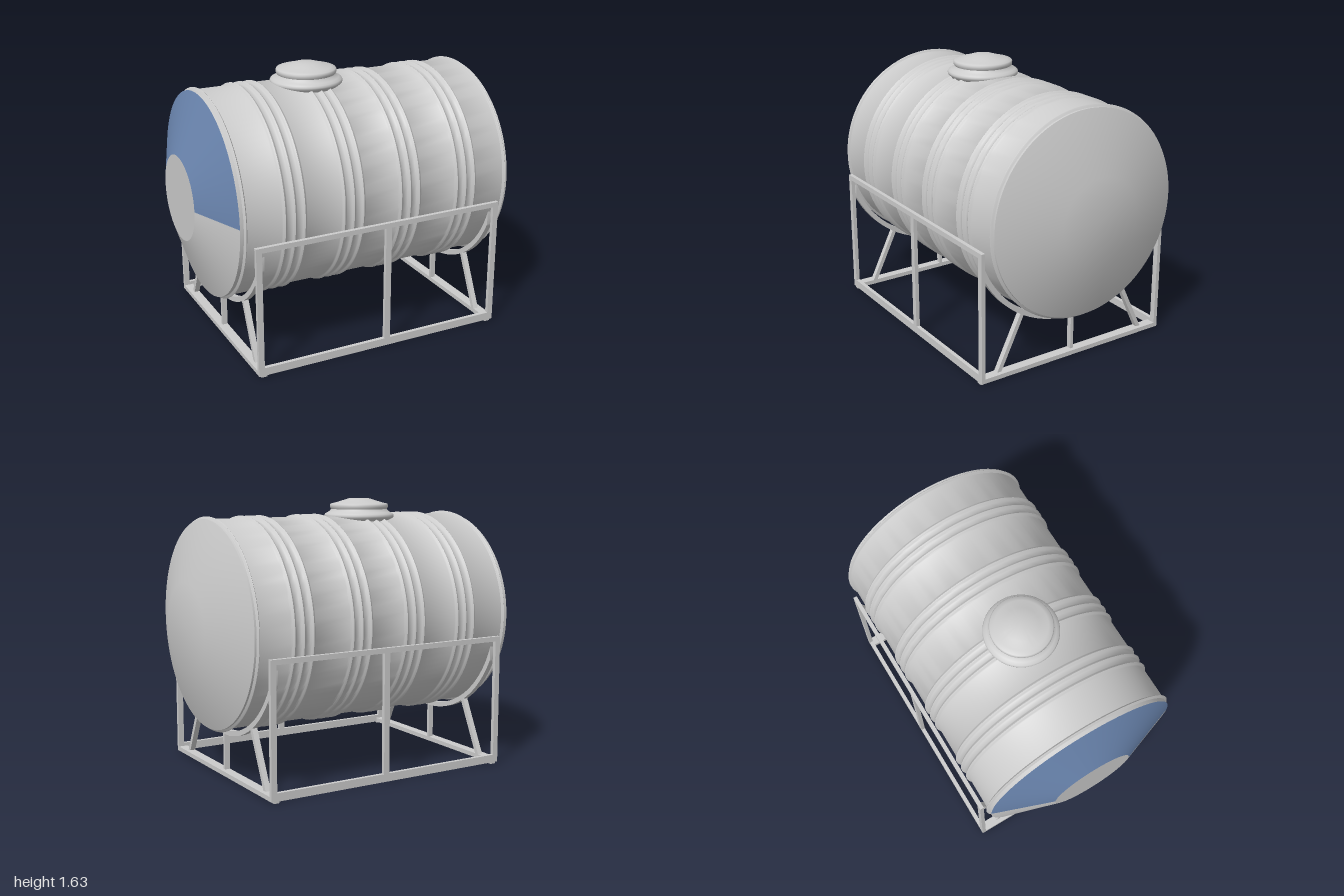
import * as THREE from 'three';
import { toCreasedNormals } from 'three/addons/utils/BufferGeometryUtils.js';

const AXIS_Y = 0.915; // height of the tank axis
const R = 0.613;      // tank shell radius
const R_END = 0.255;  // flat disc at each end

export function createModel() {
  const model = new THREE.Group();
  const grey = new THREE.MeshStandardMaterial({ color: 0xcccccc });
  const blue = new THREE.MeshStandardMaterial({ color: 0x6b86b0 });

  function add(name, geometry, parent, material = grey) {
    const mesh = new THREE.Mesh(geometry, material);
    mesh.name = name;
    parent.add(mesh);
    return mesh;
  }

  // Box given by its lower and upper corners
  function bar(name, a, b, parent) {
    const size = b.map((v, i) => Math.abs(v - a[i]));
    const mesh = add(name, new THREE.BoxGeometry(...size), parent);
    mesh.position.set(...a.map((v, i) => (v + b[i]) / 2));
    return mesh;
  }

  // Revolve [x, radius] pairs, ordered by rising x, around the tank axis
  function revolveX(pairs, start = 0, length = Math.PI * 2) {
    const pts = pairs.map(([x, r]) => new THREE.Vector2(r, x));
    const segments = Math.round(96 * length / (Math.PI * 2));
    const g = new THREE.LatheGeometry(pts, segments, start, length);
    g.rotateZ(-Math.PI / 2);
    return toCreasedNormals(g, 0.75);
  }

  // Tank: shell with raised hoops in threes and a small hoop near each rim
  const tank = new THREE.Group();
  tank.name = 'tank';
  tank.position.y = AXIS_Y;
  model.add(tank);

  const hoops = [[-0.838, 0.01]];
  for (const c of [-0.545, -0.177, 0.19, 0.57]) {
    for (const d of [-0.06, 0, 0.06]) hoops.push([c + d, 0.017]);
  }
  hoops.push([0.848, 0.01]);

  const shell = [[-0.87, R]];
  for (const [x, w] of hoops) {
    for (const t of [-1, -0.6, -0.25, 0, 0.25, 0.6, 1]) {
      shell.push([x + t * w, R + 0.0075 * (1 + Math.cos(Math.PI * t))]);
    }
  }
  shell.push([0.87, R]);
  add('tankShell', revolveX(shell), tank);

  // Tapered ends; the upper half of the right one is painted
  add('leftEnd', revolveX([[0.87, R], [1, R_END], [1, 0]]), tank);
  add('rightEndDisc', revolveX([[-1, 0], [-1, R_END]]), tank);
  const rightCone = [[-1, R_END], [-0.87, R]];
  add('rightEndLowerCone', revolveX(rightCone, 0, Math.PI), tank);
  add('rightEndUpperCone', revolveX(rightCone, Math.PI, Math.PI), tank, blue);

  // Filler lid on top
  const lidProfile = [
    [0.19, 1.49], [0.205, 1.508], [0.215, 1.518], [0.217, 1.528], [0.212, 1.538],
    [0.195, 1.548], [0.18, 1.558], [0.174, 1.568], [0.18, 1.578], [0.181, 1.592],
    [0.176, 1.6], [0.15, 1.606], [0.1, 1.621], [0.065, 1.632], [0, 1.635],
  ].map(([r, y]) => new THREE.Vector2(r, y));
  const lid = add('fillerLid', toCreasedNormals(new THREE.LatheGeometry(lidProfile, 64), 0.9), model);
  lid.position.x = -0.18;

  // Stand
  const stand = new THREE.Group();
  stand.name = 'stand';
  model.add(stand);
  const X = 0.795, Z = 0.647, ZI = 0.623, X_IN = 0.737;

  // Front and back rectangles with a middle post
  for (const s of [1, -1]) {
    bar('topRail', [-X, 0.77, s * ZI], [X, 0.8, s * Z], stand);
    bar('bottomRail', [-X, 0.01, s * ZI], [X, 0.058, s * Z], stand);
    bar('middlePost', [0.019, 0.058, s * ZI], [0.056, 0.77, s * Z], stand);
    for (const e of [1, -1]) {
      bar('cornerPost', [e * (X - 0.035), 0.01, s * ZI], [e * X, 0.8, s * Z], stand);
    }
  }

  // Curved cradle cut off flat where it meets the posts
  const cy = 0.943, rIn = 0.658, rOut = 0.688;
  const aIn = Math.asin(0.625 / rIn), aOut = Math.asin(0.625 / rOut);
  const down = -Math.PI / 2;
  const arch = new THREE.Shape();
  arch.absarc(0, cy, rOut, down - aOut, down + aOut, false);
  arch.absarc(0, cy, rIn, down + aIn, down - aIn, true);
  arch.closePath();
  const archGeometry = new THREE.ExtrudeGeometry(arch, { depth: 0.033, bevelEnabled: false, curveSegments: 48 });
  archGeometry.rotateY(Math.PI / 2);
  const cradleGeometry = toCreasedNormals(archGeometry, 0.5);

  for (const e of [1, -1]) {
    const end = new THREE.Group();
    end.name = e > 0 ? 'leftCradle' : 'rightCradle';
    stand.add(end);
    const xMid = e * (X_IN + 0.0165);

    add('cradleArch', cradleGeometry, end).position.x = xMid - 0.0165;
    bar('baseBeam', [e * X_IN, 0.01, -ZI], [e * X, 0.037, ZI], end);
    bar('centreStrut', [e * X_IN, 0.037, -0.01], [e * (X_IN + 0.033), 0.262, 0.01], end);

    // Slanted struts
    for (const s of [1, -1]) {
      const foot = new THREE.Vector3(xMid, 0.03, s * 0.518);
      const head = new THREE.Vector3(xMid, 0.362, s * 0.358);
      const strut = add('slantedStrut', new THREE.BoxGeometry(0.033, foot.distanceTo(head), 0.026), end);
      strut.position.copy(foot).add(head).multiplyScalar(0.5);
      strut.rotation.x = Math.atan2(head.z - foot.z, head.y - foot.y);
    }
  }

  // Small feet under the corners
  for (const e of [1, -1]) {
    for (const s of [1, -1]) {
      bar('foot', [e * 0.745, 0, s * 0.625], [e * 0.78, 0.01, s * 0.645], stand);
    }
  }

  return model;
}
